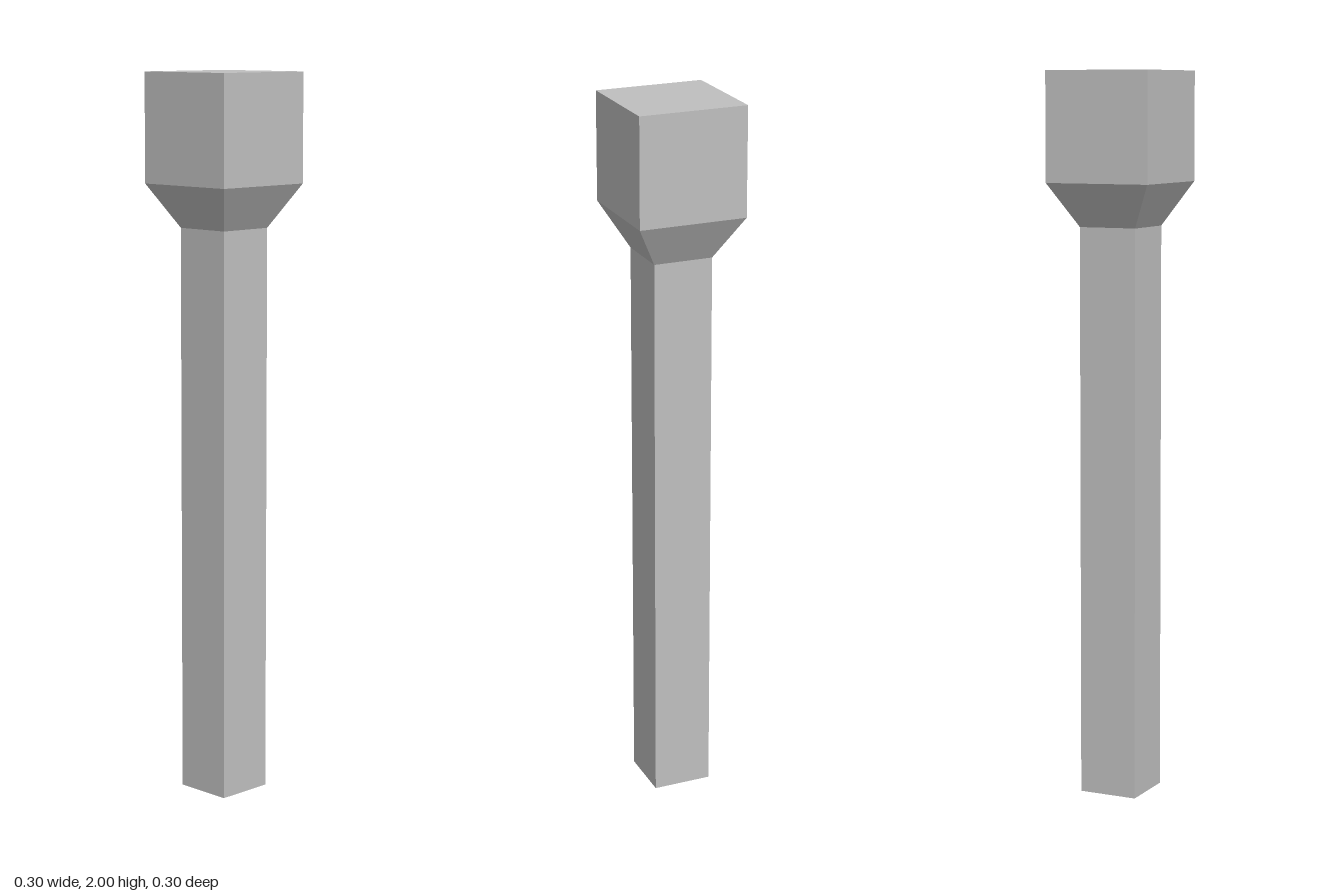
import * as THREE from 'three';

// Square section with flat faces, from y0 (half width h0) to y1 (half width h1)
function squareSection(name, h0, h1, y0, y1, openEnded, material) {
  const indexed = new THREE.CylinderGeometry(
    h1 * Math.SQRT2, h0 * Math.SQRT2, y1 - y0, 4, 1, openEnded, Math.PI / 4);
  const geometry = indexed.toNonIndexed();
  geometry.computeVertexNormals();
  const mesh = new THREE.Mesh(geometry, material);
  mesh.name = name;
  mesh.position.y = (y0 + y1) / 2;
  return mesh;
}

export function createModel() {
  const group = new THREE.Group();
  group.name = 'squarePost';
  const grey = new THREE.MeshStandardMaterial({ color: 0xbfbfbf });
  grey.name = 'grey';

  const shaftHalf = 0.083, headHalf = 0.151;
  const shaftTop = 1.58, headBase = 1.7, top = 2;

  // Long shaft, flared collar and block head
  group.add(
    squareSection('shaft', shaftHalf, shaftHalf, 0, shaftTop, false, grey),
    squareSection('collar', shaftHalf, headHalf, shaftTop, headBase, true, grey),
    squareSection('head', headHalf, headHalf, headBase, top, false, grey),
  );
  return group;
}
